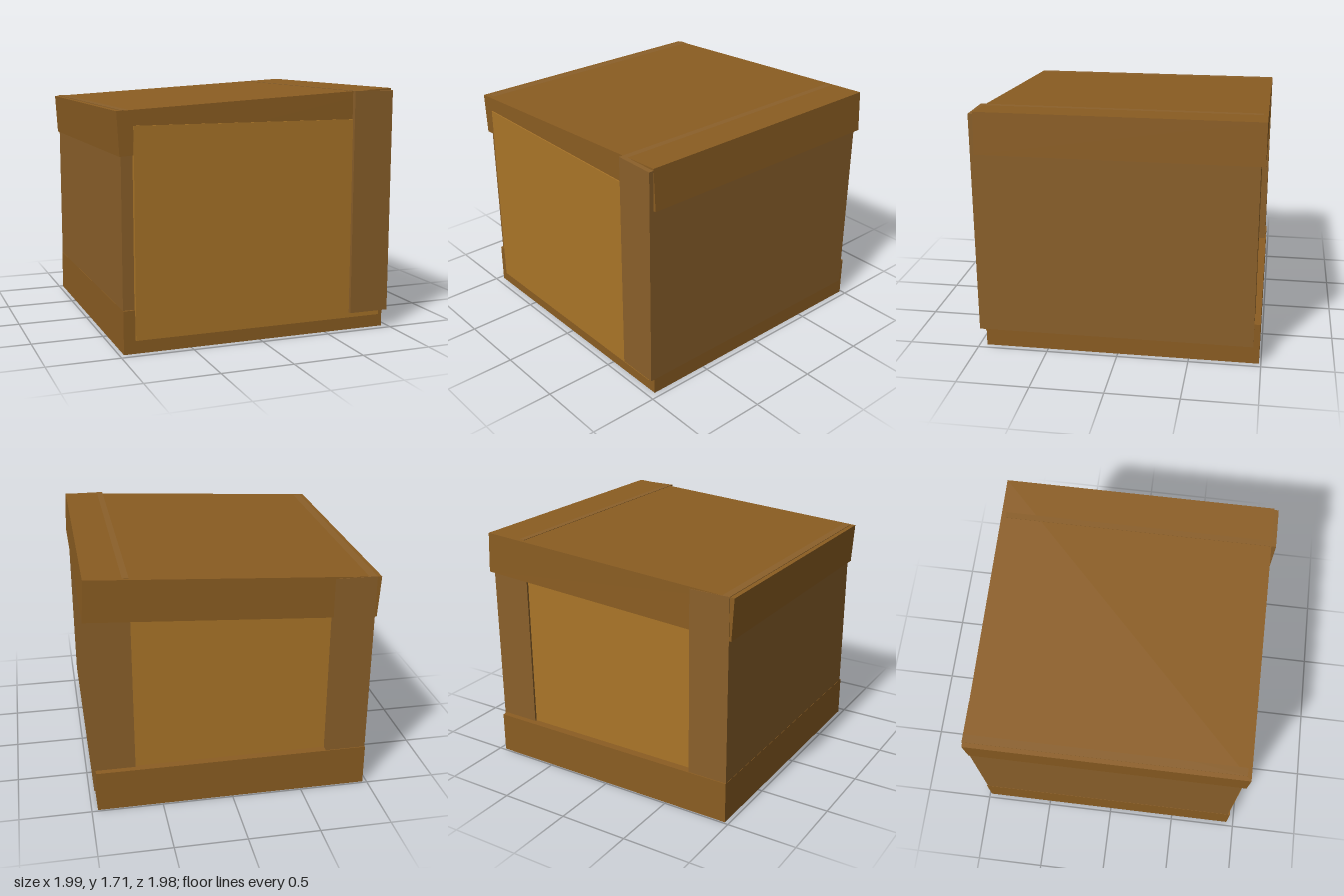
import * as THREE from 'three';

const wood = (color) => new THREE.MeshStandardMaterial({ color });

export function createModel() {
  const group = new THREE.Group();
  const trim = wood(0x8b5d22);
  const wall = wood(0x8b602a);
  const panel = wood(0xaa7528);

  // Box given by its extents on each axis
  const block = (name, [x0, x1], [y0, y1], [z0, z1], material) => {
    const mesh = new THREE.Mesh(new THREE.BoxGeometry(x1 - x0, y1 - y0, z1 - z0), material);
    mesh.position.set((x0 + x1) / 2, (y0 + y1) / 2, (z0 + z1) / 2);
    mesh.name = name;
    group.add(mesh);
    return mesh;
  };

  // Base plinth
  block('base', [-0.97, 0.957], [0, 0.295], [-0.987, 0.947], trim);

  // Lighter core whose ends show as the front and back panels
  block('corePanel', [-0.89, 0.92], [0.093, 1.505], [-0.93, 0.965], panel);

  // Side walls, shifted forward and backward so they form opposite corner boards
  block('leftWall', [-0.968, -0.68], [0.2, 1.605], [-0.98, 0.93], wall);
  block('rightWall', [0.68, 0.973], [0.13, 1.7], [-0.945, 0.99], wall);

  // Thick lid, tilted up toward the model's left
  const lid = block('lid', [-0.993, 0.985], [1.3675, 1.6575], [-0.976, 0.957], trim);
  lid.rotation.z = 0.058;

  return group;
}
